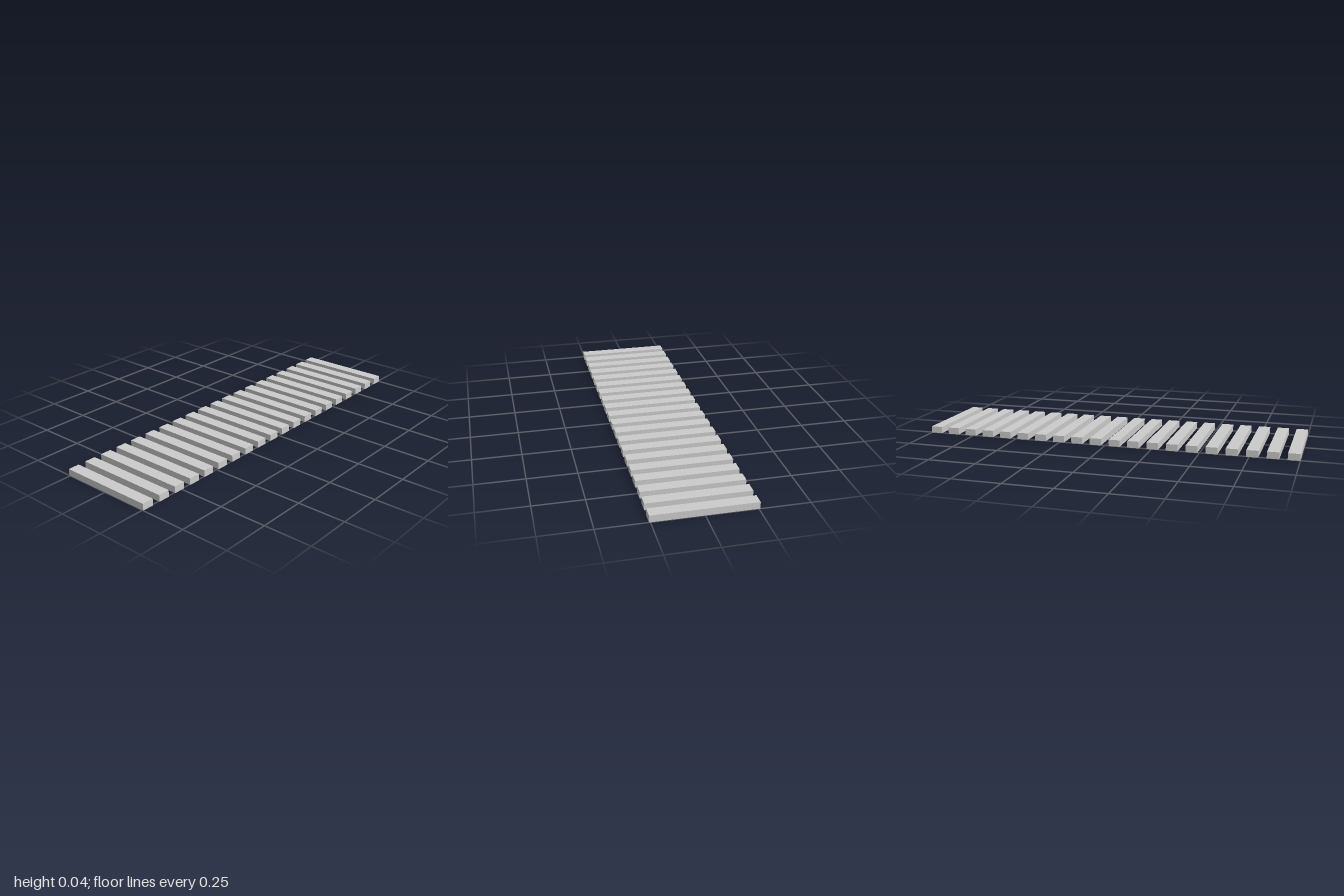
import * as THREE from 'three';

export function createModel() {
  const model = new THREE.Group();
  model.name = 'slatRow';
  const material = new THREE.MeshStandardMaterial({ color: 0xcccccc, flatShading: true });

  // Evenly spaced slats filling the two-unit length
  const count = 20, width = 0.513, height = 0.035, depth = 0.061;
  const pitch = (2 - depth) / (count - 1);
  const geometry = new THREE.BoxGeometry(width, height, depth);

  for (let i = 0; i < count; i++) {
    const slat = new THREE.Mesh(geometry, material);
    slat.name = `slat${i + 1}`;
    slat.position.set(0, height / 2, (i - (count - 1) / 2) * pitch);
    model.add(slat);
  }
  return model;
}
